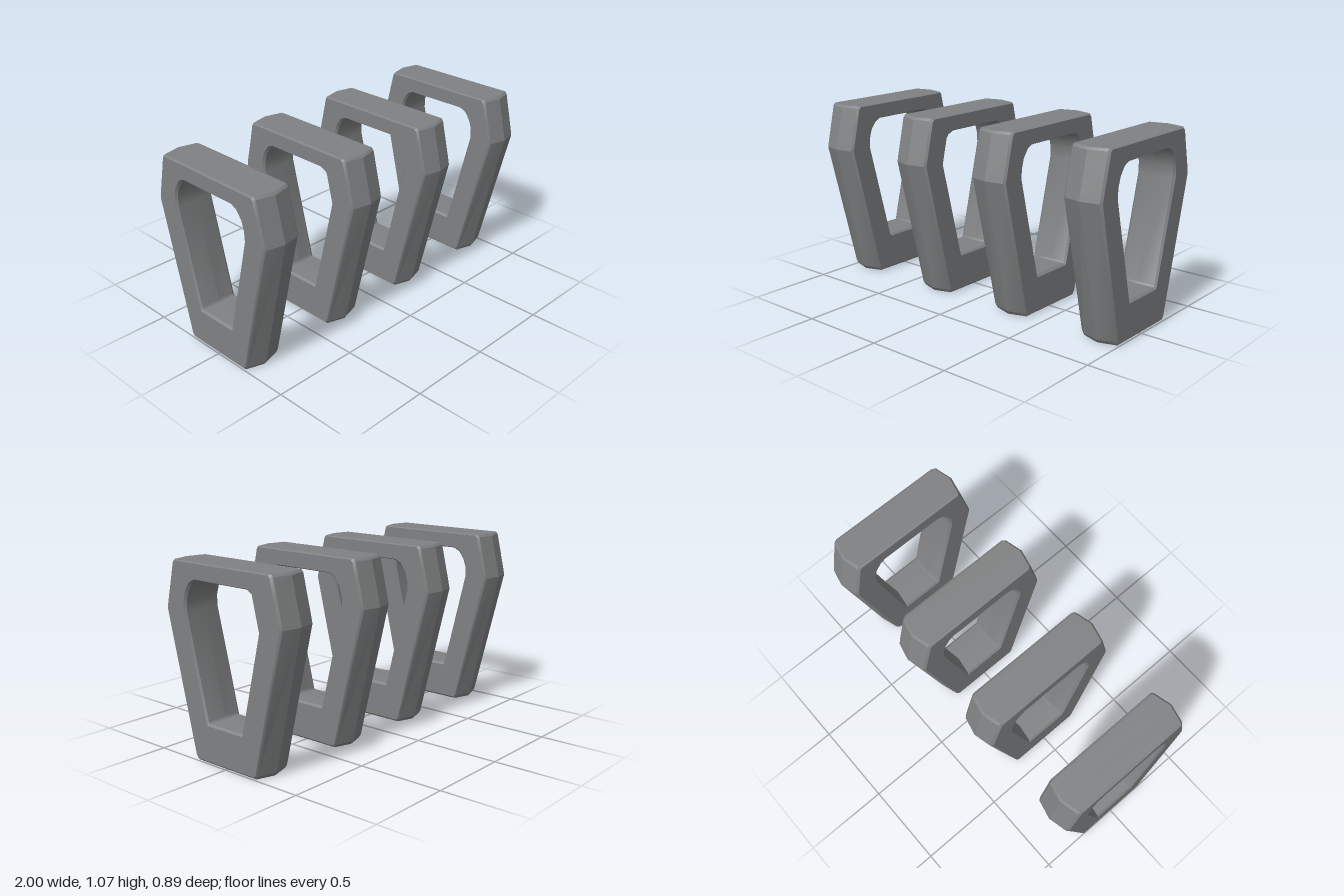
import * as THREE from 'three';
import { toCreasedNormals } from 'three/addons/utils/BufferGeometryUtils.js';

const HALF_WIDTH = 0.115;
const BEVEL = 0.012;

// Half of the loop, bottom to top, as [z, y]:
// outer ridge, outer face edge, inner face edge, inner ridge
const HALF_LOOP = [
  [[0.245, 0], [0.215, 0.002], [0.125, 0.222], [0.11, 0.227]],
  [[0.26, 0.02], [0.228, 0.02], [0.13, 0.23], [0.118, 0.237]],
  [[0.445, 0.805], [0.42, 0.803], [0.268, 0.8], [0.257, 0.8]],
  [[0.437, 0.84], [0.412, 0.84], [0.266, 0.86], [0.256, 0.86]],
  [[0.409, 0.955], [0.385, 0.955], [0.25, 0.91], [0.24, 0.908]],
  [[0.387, 1.052], [0.362, 1.052], [0.218, 0.953], [0.208, 0.95]],
  [[0.375, 1.065], [0.35, 1.065], [0.18, 0.972], [0.18, 0.968]],
];

// Moves a point a fixed distance towards another
function towards(a, b, distance) {
  const t = distance / Math.hypot(b[0] - a[0], b[1] - a[1]);
  return [a[0] + (b[0] - a[0]) * t, a[1] + (b[1] - a[1]) * t];
}

// Closed cross-section of the bar: ridged outside and inside, flat bevelled sides
function section([ridge, outer, inner, innerRidge]) {
  const side = [
    [HALF_WIDTH - BEVEL, outer],
    [HALF_WIDTH, towards(outer, inner, BEVEL)],
    [HALF_WIDTH, towards(inner, outer, BEVEL)],
    [HALF_WIDTH - BEVEL, inner],
  ];
  const otherSide = side.map(([x, p]) => [-x, p]).reverse();
  return [[0, ridge], ...side, [0, innerRidge], ...otherSide]
    .map(([x, [z, y]]) => [x, y, z]);
}

function frameGeometry() {
  const mirrored = HALF_LOOP.map((s) => s.map(([z, y]) => [-z, y])).reverse();
  const rings = [...HALF_LOOP, ...mirrored].map(section);
  const n = rings.length;
  const m = rings[0].length;
  const index = [];
  for (let i = 0; i < n; i++) {
    for (let j = 0; j < m; j++) {
      const a = i * m + j;
      const b = i * m + (j + 1) % m;
      const c = ((i + 1) % n) * m + (j + 1) % m;
      const d = ((i + 1) % n) * m + j;
      index.push(a, b, c, a, c, d);
    }
  }
  const geometry = new THREE.BufferGeometry();
  geometry.setAttribute('position', new THREE.Float32BufferAttribute(rings.flat(2), 3));
  geometry.setIndex(index);
  return toCreasedNormals(geometry, 0.38);
}

export function createModel() {
  const model = new THREE.Group();
  model.name = 'frameRow';
  const grey = new THREE.MeshStandardMaterial({ color: 0x7f8182 });
  grey.name = 'grey';

  // Four identical tapered frames in a row
  const geometry = frameGeometry();
  [-0.885, -0.285, 0.285, 0.885].forEach((x, i) => {
    const frame = new THREE.Mesh(geometry, grey);
    frame.name = `frame${i + 1}`;
    frame.position.x = x;
    model.add(frame);
  });
  return model;
}
